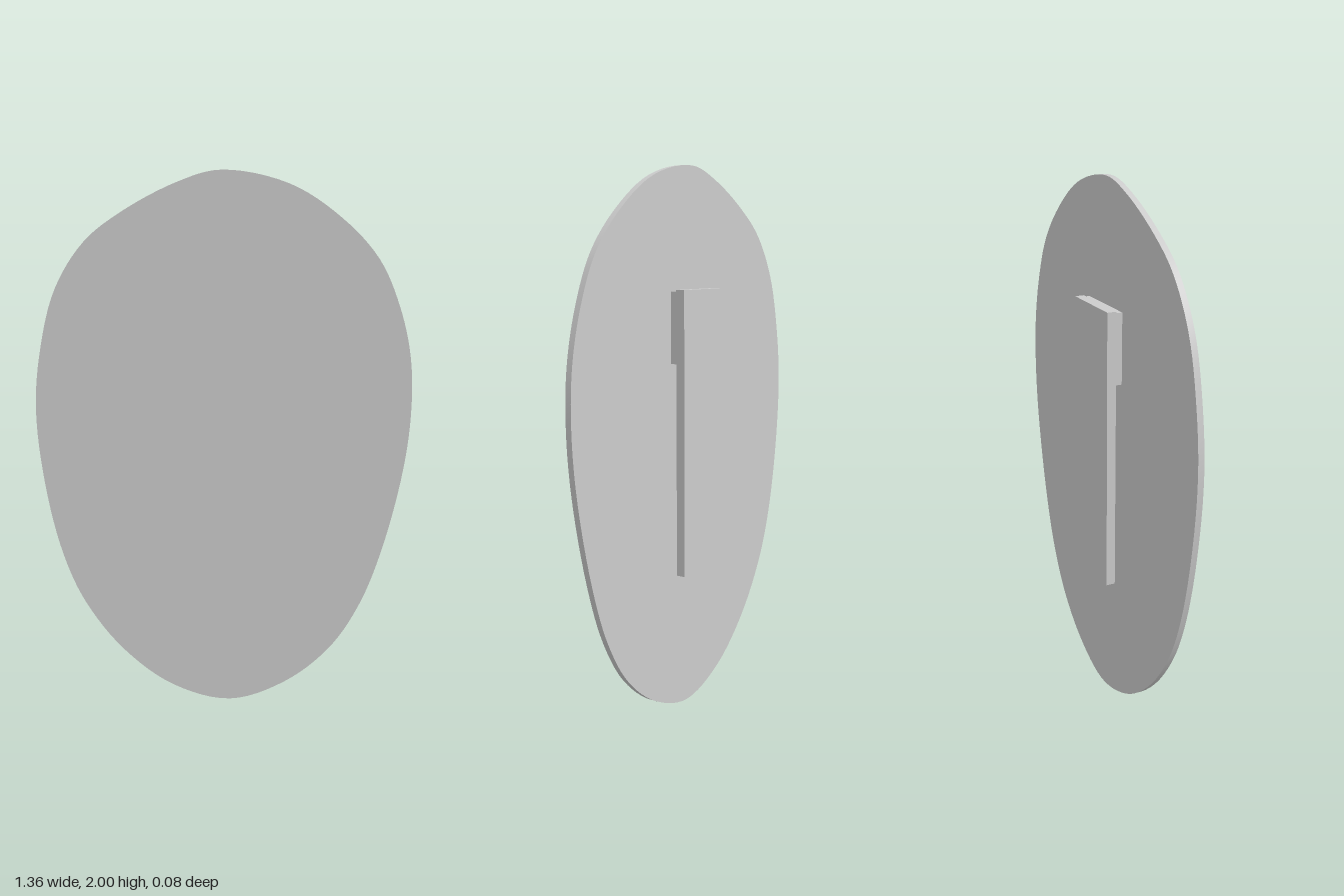
import * as THREE from 'three';
import { toCreasedNormals } from 'three/addons/utils/BufferGeometryUtils.js';

// Egg-shaped outline, clockwise from the top
const OUTLINE = [
  [-0.015, 2], [0.22, 1.955], [0.405, 1.84], [0.54, 1.7], [0.617, 1.54], [0.665, 1.36],
  [0.678, 1.17], [0.66, 0.94], [0.59, 0.61], [0.51, 0.385], [0.4, 0.21], [0.23, 0.07],
  [0.02, 0], [-0.2, 0.065], [-0.39, 0.22], [-0.53, 0.42], [-0.605, 0.61], [-0.66, 0.88],
  [-0.681, 1.17], [-0.655, 1.39], [-0.595, 1.6], [-0.49, 1.76], [-0.36, 1.86], [-0.165, 1.96],
];

export function createModel() {
  const group = new THREE.Group();
  const material = new THREE.MeshStandardMaterial({ color: 0xcccccc });

  const add = (name, geometry) => {
    const mesh = new THREE.Mesh(geometry, material);
    mesh.name = name;
    group.add(mesh);
    return mesh;
  };

  // Thin face plate
  const curve = new THREE.CatmullRomCurve3(
    OUTLINE.map(([x, y]) => new THREE.Vector3(x, y, 0)), true, 'centripetal');
  const points = curve.getPoints(144).slice(0, -1).map((p) => new THREE.Vector2(p.x, p.y));
  const plate = new THREE.ExtrudeGeometry(new THREE.Shape(points), { depth: 0.022, bevelEnabled: false });
  add('facePlate', toCreasedNormals(plate, 0.6)).position.z = 0.017;

  // Rear clip: a long bar held off the plate by a block at its top
  const box = (name, y0, y1, z0, z1) =>
    add(name, new THREE.BoxGeometry(0.27, y1 - y0, z1 - z0))
      .position.set(-0.01, (y0 + y1) / 2, (z0 + z1) / 2);
  box('clipBar', 0.53, 1.57, -0.039, -0.005);
  box('clipMount', 1.31, 1.565, -0.005, 0.017);

  return group;
}
